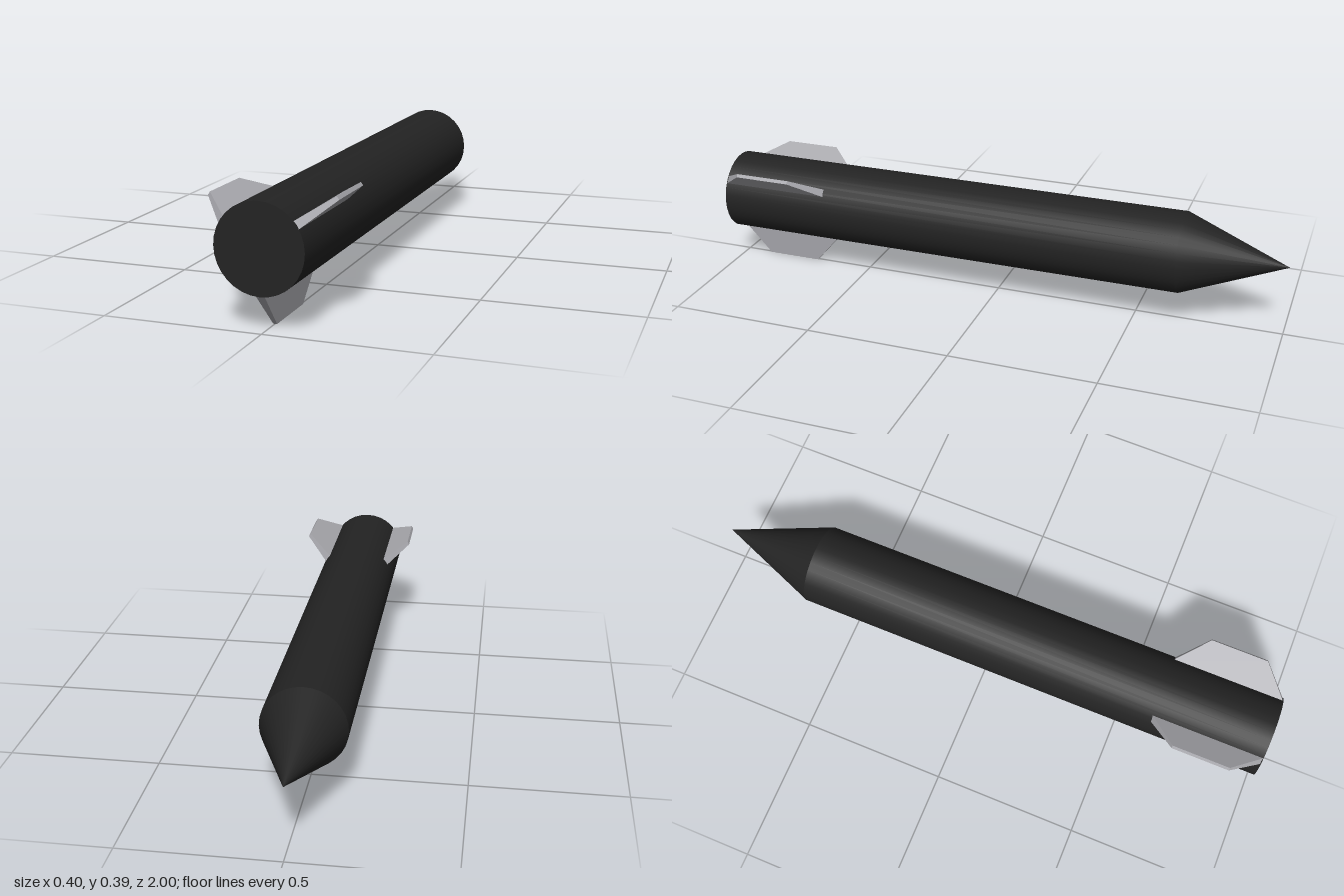
import * as THREE from 'three';

const RADIUS = 0.1375;
const CENTRE_X = -0.003;
const CENTRE_Y = 0.245;
const SIDES = 32;

// Tapered fin: a box whose corners are moved between a thick, long root and a thin, short tip
function finGeometry([rootX, rootY], [tipX, tipY]) {
  const dir = new THREE.Vector2(tipX - rootX, tipY - rootY).normalize();
  const geometry = new THREE.BoxGeometry(1, 1, 1);
  const p = geometry.attributes.position;
  for (let i = 0; i < p.count; i++) {
    const t = p.getY(i) + 0.5;
    const across = p.getX(i) * THREE.MathUtils.lerp(0.027, 0.012, t);
    const z = p.getZ(i) > 0
      ? THREE.MathUtils.lerp(1, 0.905, t)
      : THREE.MathUtils.lerp(0.615, 0.71, t);
    p.setXYZ(
      i,
      THREE.MathUtils.lerp(rootX, tipX, t) + dir.y * across,
      THREE.MathUtils.lerp(rootY, tipY, t) - dir.x * across,
      z
    );
  }
  geometry.computeVertexNormals();
  return geometry;
}

export function createModel() {
  const model = new THREE.Group();
  const black = new THREE.MeshStandardMaterial({ name: 'black', color: 0x232323 });
  const grey = new THREE.MeshStandardMaterial({ name: 'grey', color: 0xa8a8ad });

  const add = (name, geometry, material) => {
    const mesh = new THREE.Mesh(geometry, material);
    mesh.name = name;
    model.add(mesh);
    return mesh;
  };

  // Long cylindrical body, closed at the tail
  const body = new THREE.CylinderGeometry(RADIUS, RADIUS, 1.65, SIDES).rotateX(-Math.PI / 2);
  add('body', body, black).position.set(CENTRE_X, CENTRE_Y, 0.175);

  // Pointed nose
  const nose = new THREE.ConeGeometry(RADIUS, 0.35, SIDES, 1, true).rotateX(-Math.PI / 2);
  add('nose', nose, black).position.set(CENTRE_X, CENTRE_Y, -0.825);

  // Three tail fins, given by root and tip centres
  const fins = {
    leftFin: [[0.107, 0.3205], [0.1955, 0.3835]],
    rightFin: [[-0.115, 0.319], [-0.197, 0.3685]],
    bottomFin: [[-0.001, 0.11], [0.0005, 0]],
  };
  for (const [name, [root, tip]] of Object.entries(fins)) {
    add(name, finGeometry(root, tip), grey);
  }

  return model;
}
